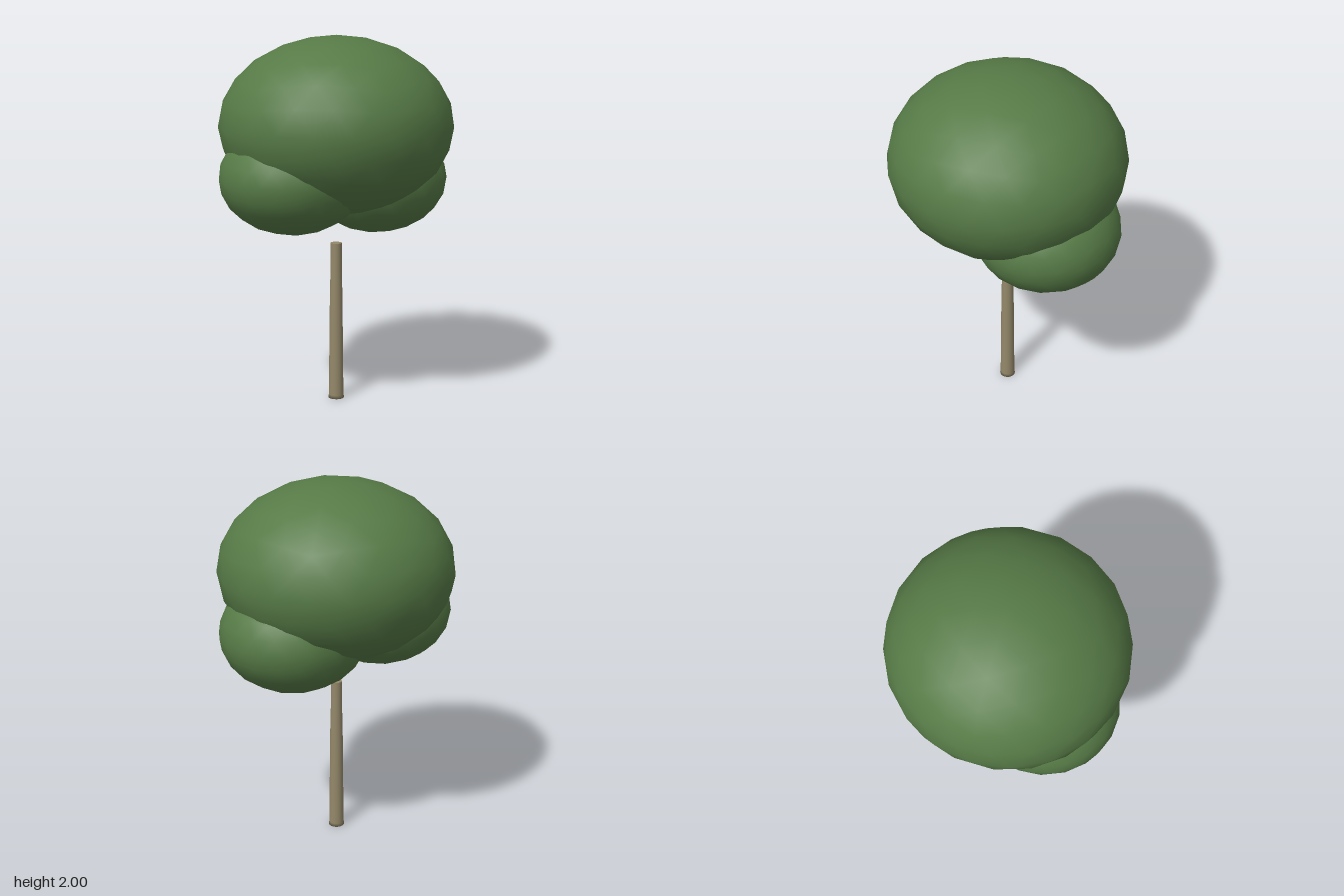
import * as THREE from 'three';

export function createModel() {
  const tree = new THREE.Group();
  tree.name = 'tree';
  const leafGreen = new THREE.MeshStandardMaterial({ color: 0x567a46 });
  leafGreen.name = 'leafGreen';
  const barkBrown = new THREE.MeshStandardMaterial({ color: 0x94886a });
  barkBrown.name = 'barkBrown';

  // Slim tapering trunk with a slight flare at the foot
  const profile = [[0, 0], [0.044, 0], [0.041, 0.02], [0.038, 0.3], [0.035, 0.58], [0.031, 0.74], [0.031, 0.88]]
    .map(([r, y]) => new THREE.Vector2(r, y));
  const trunk = new THREE.Mesh(new THREE.LatheGeometry(profile, 16), barkBrown);
  trunk.name = 'trunk';
  tree.add(trunk);

  // Flat end of the trunk
  const cap = new THREE.Mesh(new THREE.CircleGeometry(0.031, 16).rotateX(-Math.PI / 2), barkBrown);
  cap.name = 'trunkTop';
  cap.position.y = 0.88;
  tree.add(cap);

  // Faceted ball with one vertex at the pole, stretched into each leaf cluster
  const ball = new THREE.IcosahedronGeometry(1, 3)
    .rotateZ(-Math.atan(2 / (1 + Math.sqrt(5))));
  const clusters = [
    ['mainCrown', [0, 1.522, 0], [0.63, 0.478, 0.625], 0],
    ['rightFrontCluster', [-0.247, 1.26, 0.115], [0.39, 0.3, 0.39], 0.4],
    ['leftBackCluster', [0.24, 1.22, -0.14], [0.392, 0.307, 0.392], 1.1],
  ];
  for (const [name, position, scale, turn] of clusters) {
    const cluster = new THREE.Mesh(ball, leafGreen);
    cluster.name = name;
    cluster.position.set(...position);
    cluster.scale.set(...scale);
    cluster.rotation.y = turn;
    tree.add(cluster);
  }
  return tree;
}
